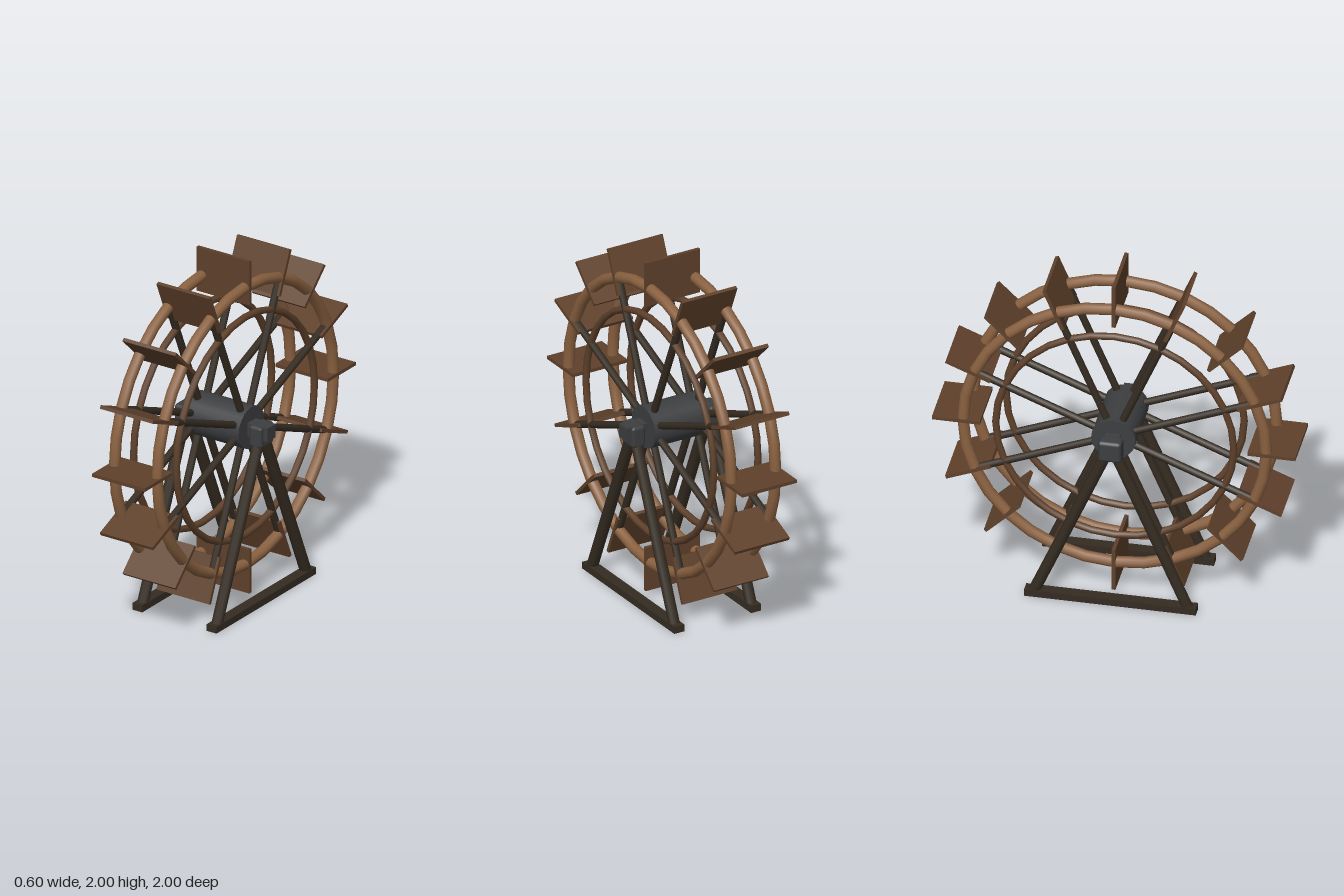
import * as THREE from 'three';
import { RoundedBoxGeometry } from 'three/addons/geometries/RoundedBoxGeometry.js';

const material = (name, color) => {
  const m = new THREE.MeshStandardMaterial({ color });
  m.name = name;
  return m;
};

export function createModel() {
  const rimWood = material('light rim wood', 0x8a6140);
  const plankWood = material('plank wood', 0x5f412b);
  const darkWood = material('dark frame wood', 0x352c22);
  const iron = material('dark iron', 0x3d3e40);

  const model = new THREE.Group();
  model.name = 'waterWheel';

  const add = (parent, name, geometry, mat, x = 0, y = 0, z = 0) => {
    const mesh = new THREE.Mesh(geometry, mat);
    mesh.name = name;
    mesh.position.set(x, y, z);
    parent.add(mesh);
    return mesh;
  };

  // Round beam between two points
  const beam = (parent, name, a, b, radius, mat) => {
    const dir = b.clone().sub(a);
    const mesh = add(parent, name, new THREE.CylinderGeometry(radius, radius, dir.length(), 8), mat);
    mesh.position.copy(a).add(b).multiplyScalar(0.5);
    mesh.quaternion.setFromUnitVectors(new THREE.Vector3(0, 1, 0), dir.normalize());
  };

  const axleY = 1.02;
  const midX = -0.017;

  // Wheel, very slightly flattened in height
  const wheel = new THREE.Group();
  wheel.name = 'wheel';
  wheel.position.set(midX, axleY, 0);
  wheel.scale.y = 0.983;
  model.add(wheel);

  add(wheel, 'hub', new THREE.CylinderGeometry(0.122, 0.122, 0.36, 24), iron).rotation.z = Math.PI / 2;

  for (const side of [-1, 1]) {
    const x = side * 0.14;
    add(wheel, 'outerRim', new THREE.TorusGeometry(0.835, 0.032, 10, 32), rimWood, x).rotation.y = Math.PI / 2;
    add(wheel, 'innerRim', new THREE.TorusGeometry(0.655, 0.02, 8, 32), plankWood, x).rotation.y = Math.PI / 2;
    // Spokes
    for (let i = 0; i < 8; i++) {
      const a = (i + 0.5) * Math.PI / 4;
      const at = r => new THREE.Vector3(x, r * Math.sin(a), r * Math.cos(a));
      beam(wheel, 'spoke', at(0.05), at(0.835), 0.021, darkWood);
    }
  }

  // Paddles
  const paddleGeometry = new THREE.BoxGeometry(0.345, 0.02, 0.264);
  for (let i = 0; i < 16; i++) {
    const a = i * Math.PI / 8;
    const paddle = add(wheel, 'paddle', paddleGeometry, plankWood, 0, 0.868 * Math.sin(a), 0.868 * Math.cos(a));
    paddle.rotation.x = -a;
  }

  // Square axle
  add(model, 'axle', new THREE.BoxGeometry(0.554, 0.078, 0.08), iron, 0.017, axleY, 0);

  // A-frame on each side
  for (const [x, blockX] of [[-0.258, -0.262], [0.228, 0.228]]) {
    const frame = new THREE.Group();
    frame.name = 'supportFrame';
    model.add(frame);
    add(frame, 'bearingBlock', new RoundedBoxGeometry(0.083, 0.126, 0.13, 1, 0.018), iron, blockX, 0.999, 0);
    add(frame, 'sill', new THREE.BoxGeometry(0.064, 0.04, 0.945), darkWood, x, 0.02, 0);
    for (const s of [-1, 1]) {
      beam(frame, 'leg', new THREE.Vector3(x, 0.02, s * 0.425), new THREE.Vector3(x, 0.99, s * 0.015), 0.032, darkWood);
    }
  }

  return model;
}
